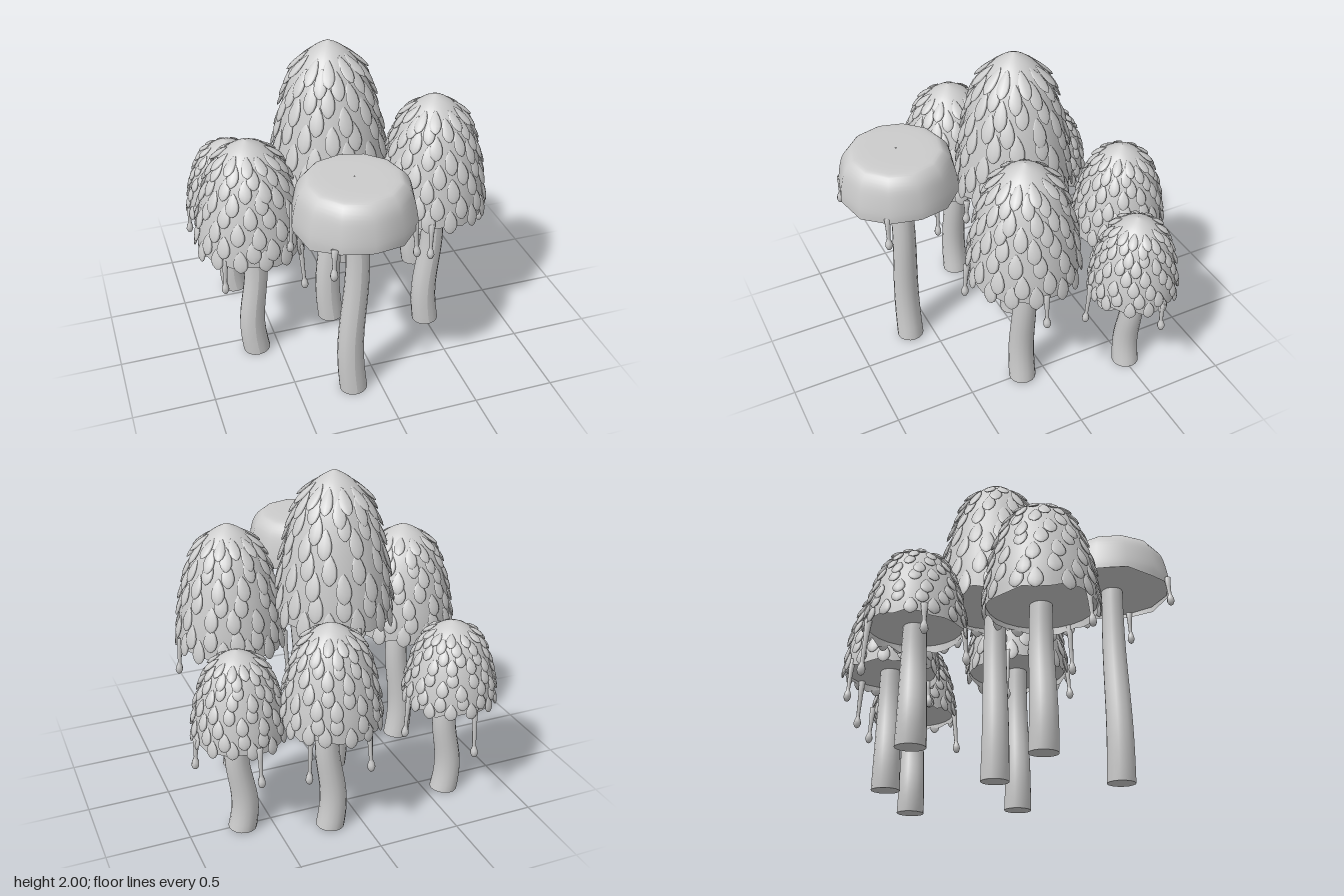
import * as THREE from 'three';
import { mergeGeometries } from 'three/addons/utils/BufferGeometryUtils.js';

const grey = new THREE.MeshStandardMaterial({ color: 0xcccccc, side: THREE.DoubleSide });
grey.name = 'pale grey';

let seed = 7;
const rand = () => (seed = (seed * 16807) % 2147483647) / 2147483647;

const V2 = (x, y) => new THREE.Vector2(x, y);
// Profiles from rim to apex, as fractions of radius and height
const BELL = [[1, 0], [0.98, 0.18], [0.89, 0.42], [0.76, 0.63], [0.59, 0.8], [0.39, 0.9], [0.2, 0.96], [0.003, 1]];
const FLAT = [[1, 0], [1, 0.2], [0.96, 0.5], [0.9, 0.75], [0.8, 0.92], [0.69, 0.985], [0.4, 1], [0.01, 1]];

// x, z, cap radius, apex y, rim y, drips as [x, z, lowest y]
const mushrooms = [
  { x: -0.085, z: -0.08, r: 0.345, top: 2.0, rim: 1.1, drips: [[0.05, 0.31, 0.98], [-0.085, -0.47, 0.82]] },
  { x: -0.165, z: 0.645, r: 0.358, top: 1.51, rim: 1.22, flat: true,
    drips: [[-0.38, 0.95, 1.07], [0.14, 0.84, 1.04], [-0.48, 0.42, 0.93]] },
  { x: -0.64, z: 0.1, r: 0.32, top: 1.535, rim: 0.85, drips: [[-0.86, 0.34, 0.66], [-0.37, 0.33, 0.58]] },
  { x: 0.505, z: 0.15, r: 0.32, top: 1.675, rim: 0.925, drips: [[0.38, 0.48, 0.73], [0.17, 0.03, 0.62], [0.84, 0.17, 0.73]] },
  { x: -0.625, z: -0.6, r: 0.268, top: 1.17, rim: 0.67,
    drips: [[-0.34, -0.59, 0.43], [-0.91, -0.57, 0.53], [-0.66, -0.88, 0.38], [-0.6, -0.31, 0.5]] },
  { x: 0.19, z: -0.69, r: 0.28, top: 1.34, rim: 0.735, drips: [[0.05, -0.95, 0.5], [0.4, -0.88, 0.46], [0.33, -0.44, 0.6]] },
  { x: 0.68, z: -0.51, r: 0.26, top: 1.185, rim: 0.655, drips: [[0.96, -0.55, 0.5], [0.61, -0.23, 0.4], [0.65, -0.8, 0.45]] },
];

function add(parent, geometry, name) {
  const mesh = new THREE.Mesh(geometry, grey);
  mesh.name = name;
  parent.add(mesh);
  return mesh;
}

// Smooth lathed cap whose lowest ring is scalloped
function capGeometry(m) {
  const curve = new THREE.SplineCurve((m.flat ? FLAT : BELL).map(([a, b]) => V2(a * m.r, m.rim + b * (m.top - m.rim))));
  const rows = 20, sides = m.flat ? 12 : 24;
  const g = new THREE.LatheGeometry(curve.getPoints(rows), sides);
  const p = g.attributes.position;
  const drop = Array.from({ length: sides }, () => (rand() - 0.5) * 0.04);
  for (let i = 0; i <= sides; i++) p.setY(i * (rows + 1), m.rim + drop[i % sides]);
  return { g, curve };
}

// Pointed leaf, widest a little below its middle
function leafGeometry() {
  const g = new THREE.SphereGeometry(1, 8, 8);
  const p = g.attributes.position;
  for (let i = 0; i < p.count; i++) {
    const y = p.getY(i);
    const k = Math.pow(Math.max(0, 1 - y * y), 0.2) * (1 - 0.35 * y);
    p.setXYZ(i, p.getX(i) * k, y, p.getZ(i) * k);
  }
  g.computeVertexNormals();
  return g;
}

// Staggered rows of overlapping scales, lower tips lifted off the cap
function scalesGeometry(m, curve) {
  const leaf = leafGeometry(), parts = [], o = new THREE.Object3D();
  o.rotation.order = 'YXZ';
  const size = (m.top - m.rim) / 0.75, rows = 8;
  for (let j = 0; j < rows; j++) {
    const u = 0.06 + (j / (rows - 1)) * 0.58;
    const n = 14 - Math.floor(j / 2);
    for (let i = 0; i < n; i++) {
      const uu = u + (rand() - 0.5) * 0.03;
      const c = curve.getPoint(uu), t = curve.getTangent(uu);
      const a = ((i + (j % 2) * 0.5 + (rand() - 0.5) * 0.3) / n) * Math.PI * 2;
      const rr = c.x + 0.008;
      o.position.set(Math.sin(a) * rr, c.y, Math.cos(a) * rr);
      o.rotation.set(-Math.atan2(-t.x, t.y) - 0.14, a, 0);
      const w = 0.55 + 0.45 * (c.x / m.r);
      o.scale.set(0.043 * w * (m.r / 0.32), 0.076 * size, 0.011);
      o.updateMatrix();
      parts.push(leaf.clone().applyMatrix4(o.matrix));
    }
  }
  return mergeGeometries(parts);
}

// Gently swaying stem: a cylinder shifted sideways by height
function stemGeometry(height) {
  const g = new THREE.CylinderGeometry(0.065, 0.085, height, 16, 14);
  g.translate(0, height / 2, 0);
  const p = g.attributes.position;
  for (let i = 0; i < p.count; i++) {
    const x = p.getX(i), y = p.getY(i), t = y / height;
    p.setXYZ(i, x - 0.024 * Math.sin(t * Math.PI * 2) * (1 - 0.4 * t) + t * 0.008, y + 0.01 + 0.06 * x * (1 - t), p.getZ(i));
  }
  g.computeVertexNormals();
  return g;
}

// Tapered strand with a hanging droplet
function dripGeometry(length) {
  return new THREE.LatheGeometry([
    V2(0.001, 0), V2(0.014, 0.008), V2(0.023, 0.028), V2(0.021, 0.048), V2(0.013, 0.07),
    V2(0.011, 0.08), V2(0.015, length * 0.7), V2(0.021, length), V2(0.001, length + 0.004),
  ], 8);
}

export function createModel() {
  const model = new THREE.Group();
  model.name = 'mushroomCluster';
  for (const m of mushrooms) {
    const body = new THREE.Group();
    body.name = m.flat ? 'flatMushroom' : 'scalyMushroom';
    body.position.set(m.x, 0, m.z);
    model.add(body);

    const { g, curve } = capGeometry(m);
    add(body, g, 'cap');
    if (!m.flat) add(body, scalesGeometry(m, curve), 'scales');

    const under = add(body, new THREE.CircleGeometry(m.r * 0.985, m.flat ? 12 : 24), 'underside');
    under.rotation.x = Math.PI / 2;
    under.position.y = m.rim + 0.03;

    add(body, stemGeometry(m.rim + 0.04), 'stem');

    for (const [x, z, low] of m.drips) {
      const drip = add(body, dripGeometry(m.rim + 0.04 - low), 'drip');
      drip.position.set(x - m.x, low, z - m.z);
      // lean each strand back so its top meets the rim
      const a = Math.atan2(x - m.x, z - m.z);
      drip.rotation.set(-0.08, a, 0, 'YXZ');
    }
  }
  return model;
}
